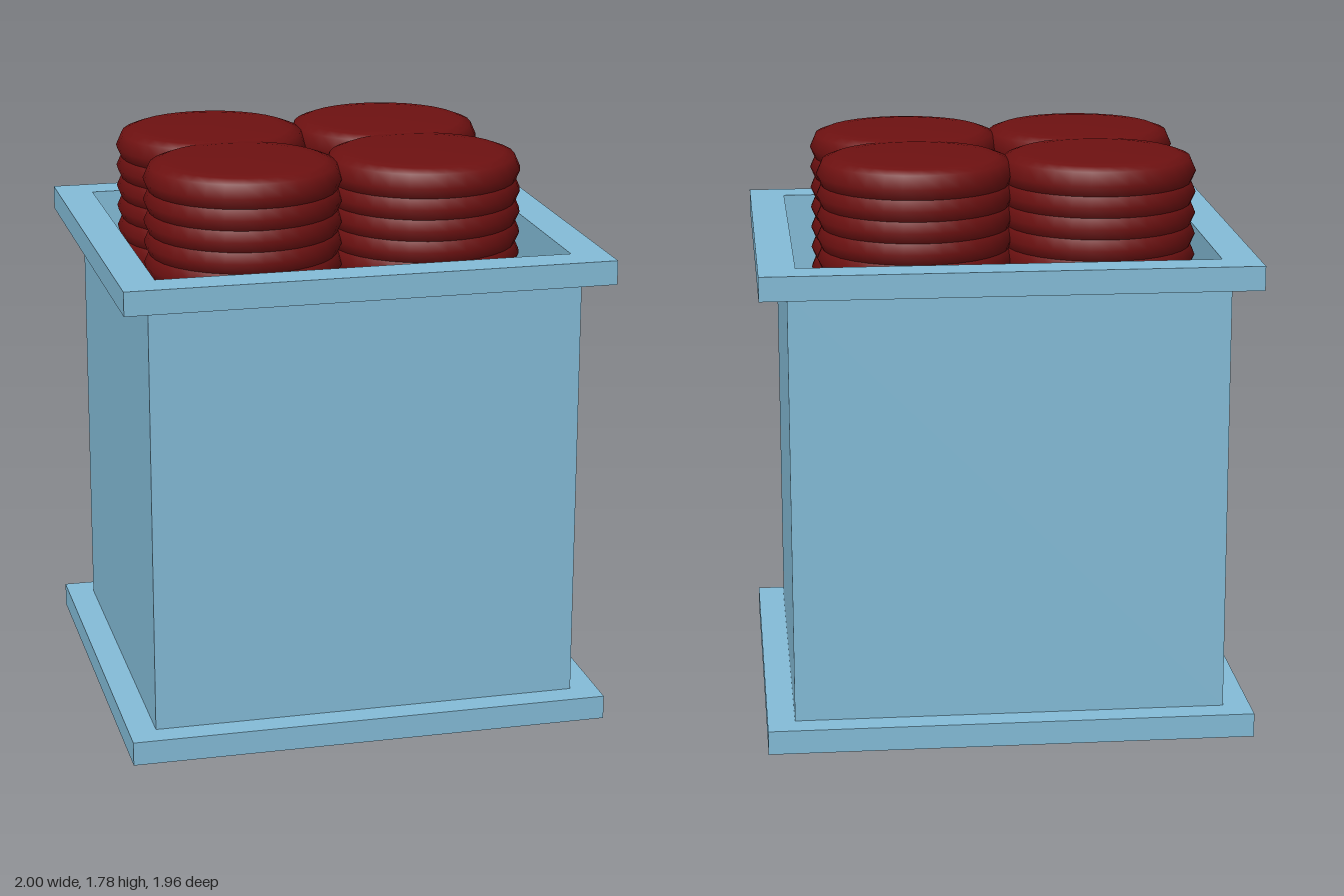
import * as THREE from 'three';

export function createModel() {
  const model = new THREE.Group();
  const blue = new THREE.MeshStandardMaterial({ color: 0x84bcd8 });
  const red = new THREE.MeshStandardMaterial({ color: 0x6e1111 });

  // The whole container stands turned about the vertical axis
  const container = new THREE.Group();
  container.name = 'container';
  container.rotation.y = -0.5586;
  model.add(container);

  const width = 1.51, depth = 1.365;           // plates
  const bodyWidth = 1.34, bodyDepth = 1.2;     // outer walls
  const holeWidth = 1.285, holeDepth = 1.14;   // opening
  const plate = 0.075, height = 1.5;

  const add = (name, geometry, material, y, parent = container) => {
    const mesh = new THREE.Mesh(geometry, material);
    mesh.name = name;
    mesh.position.y = y;
    parent.add(mesh);
    return mesh;
  };

  const rectangle = (Type, w, d) => new Type([
    new THREE.Vector2(-w / 2, -d / 2), new THREE.Vector2(w / 2, -d / 2),
    new THREE.Vector2(w / 2, d / 2), new THREE.Vector2(-w / 2, d / 2),
  ]);

  // Upright rectangular frame around the opening
  const frame = (w, d, h) => {
    const shape = rectangle(THREE.Shape, w, d);
    shape.holes.push(rectangle(THREE.Path, holeWidth, holeDepth));
    return new THREE.ExtrudeGeometry(shape, { depth: h, bevelEnabled: false }).rotateX(-Math.PI / 2);
  };

  add('basePlate', new THREE.BoxGeometry(width, plate, depth), blue, plate / 2);
  add('walls', frame(bodyWidth, bodyDepth, height - 2 * plate), blue, plate);
  add('rim', frame(width, depth, plate), blue, height - plate);

  // Flat disc with a rounded edge
  const profile = [
    [0, -0.06], [0.21, -0.058], [0.255, -0.053], [0.287, -0.041], [0.305, 0],
    [0.287, 0.041], [0.255, 0.053], [0.21, 0.058], [0, 0.06],
  ].map(([r, y]) => new THREE.Vector2(r, y));
  const disc = new THREE.LatheGeometry(profile, 32);

  // Four overlapping stacks from the floor to above the rim
  const discCount = 25, spacing = 0.066;
  for (const sx of [-1, 1]) {
    for (const sz of [-1, 1]) {
      const stack = new THREE.Group();
      stack.name = 'discStack';
      stack.position.set(sx * 0.283 - 0.024, 0, sz * 0.24 + 0.009);
      container.add(stack);
      for (let i = 0; i < discCount; i++) {
        add('disc', disc, red, plate + 0.061 + i * spacing, stack);
      }
    }
  }
  return model;
}
